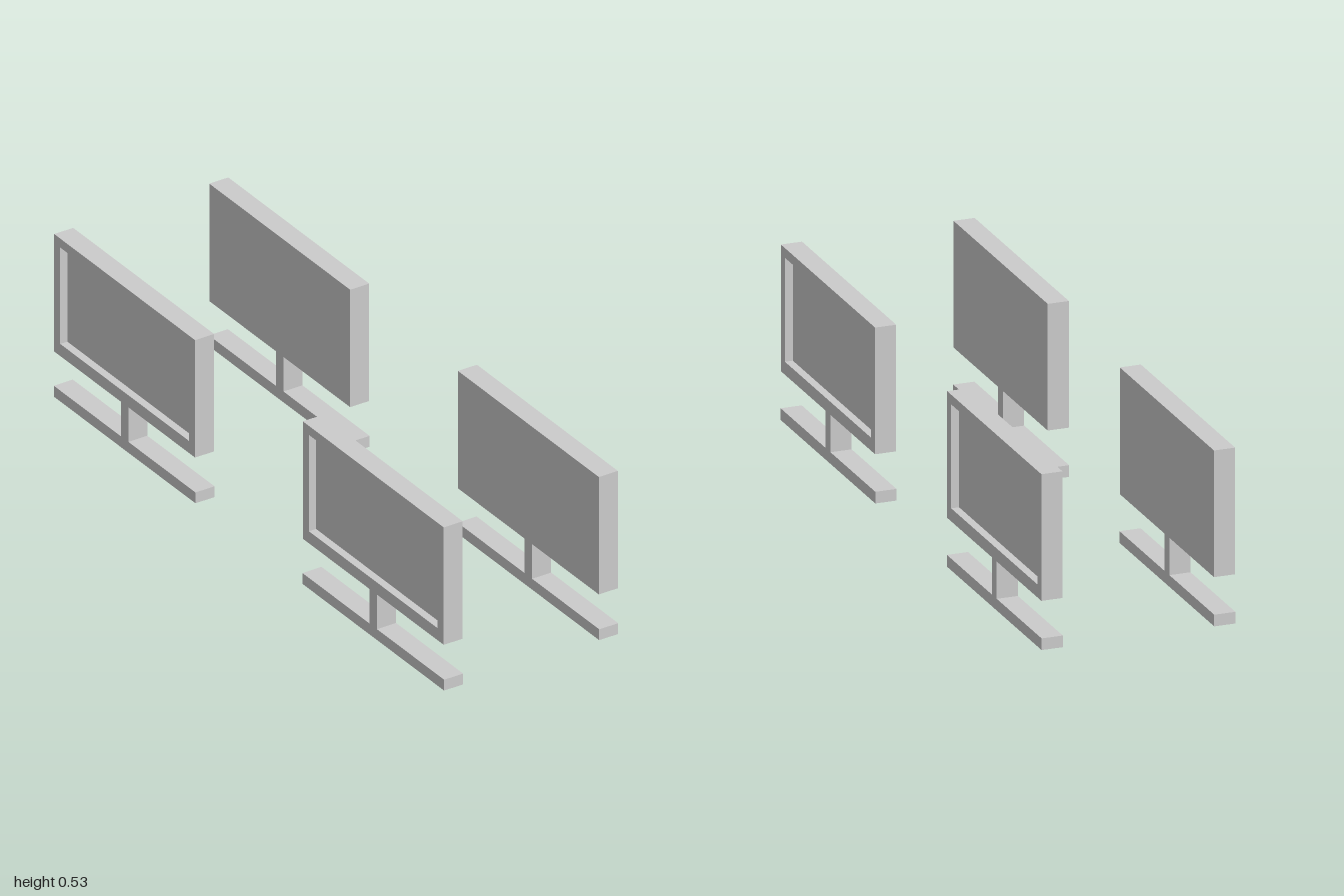
import * as THREE from 'three';

const material = new THREE.MeshStandardMaterial({ color: 0xcccccc, flatShading: true });
const DEPTH = 0.064, RECESS = 0.024;
const WIDTH = 0.722, BOTTOM = 0.147, TOP = 0.527;

function addBox(parent, name, w, y0, y1, z0, z1) {
  const mesh = new THREE.Mesh(new THREE.BoxGeometry(w, y1 - y0, z1 - z0), material);
  mesh.name = name;
  mesh.position.set(0, (y0 + y1) / 2, (z0 + z1) / 2);
  parent.add(mesh);
}

// Rectangle outline centred on x = 0
function rect(Type, w, y0, y1) {
  const path = new Type();
  path.moveTo(-w / 2, y0).lineTo(w / 2, y0).lineTo(w / 2, y1).lineTo(-w / 2, y1).closePath();
  return path;
}

// One monitor, screen facing local +z
function createMonitor(name) {
  const monitor = new THREE.Group();
  monitor.name = name;
  const back = -DEPTH / 2, front = DEPTH / 2;
  addBox(monitor, 'base', 0.726, 0, 0.035, back, front);
  addBox(monitor, 'post', 0.038, 0.035, BOTTOM, back, front);
  addBox(monitor, 'screenPanel', WIDTH, BOTTOM, TOP, back, front - RECESS);

  // Raised bezel around the recessed screen
  const outline = rect(THREE.Shape, WIDTH, BOTTOM, TOP);
  outline.holes.push(rect(THREE.Path, 0.66, 0.186, 0.498));
  const bezel = new THREE.Mesh(
    new THREE.ExtrudeGeometry(outline, { depth: RECESS, bevelEnabled: false }), material);
  bezel.name = 'bezel';
  bezel.position.z = front - RECESS;
  monitor.add(bezel);
  return monitor;
}

export function createModel() {
  const model = new THREE.Group();
  model.name = 'monitors';
  // Two back-to-back pairs, screens facing outwards
  for (const sx of [1, -1]) {
    for (const sz of [1, -1]) {
      const name = (sz > 0 ? 'front' : 'back') + (sx > 0 ? 'Left' : 'Right') + 'Monitor';
      const monitor = createMonitor(name);
      monitor.position.set(sx * 0.261, 0, sz * 0.637);
      monitor.rotation.y = sx * Math.PI / 2;
      model.add(monitor);
    }
  }
  return model;
}
